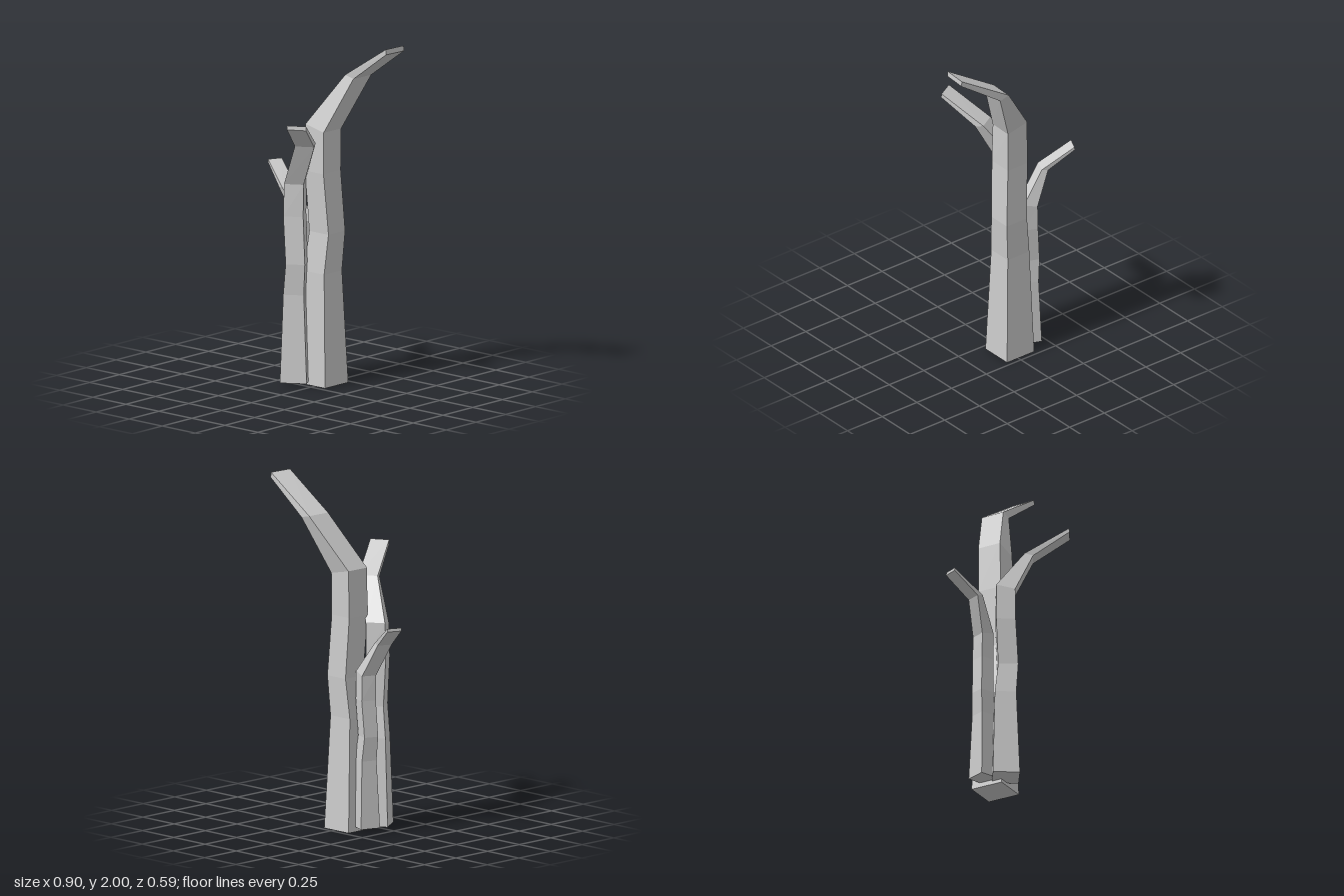
import * as THREE from 'three';

// Cross-sections from root to tip: left x, right x, back z, front z, left y, right y, back-edge x shift
const RINGS = [
  [-0.115, 0.08, -0.225, -0.03, 0, 0, 0],
  [-0.1, 0.055, -0.2, -0.05, 0.65, 0.65, 0],
  [-0.075, 0.07, -0.21, -0.07, 0.88, 0.88, 0],
  [-0.09, 0.05, -0.195, -0.05, 1.23, 1.23, 0],
  [-0.09, 0.047, -0.198, -0.055, 1.5, 1.47, 0.004],
  [0.12, 0.182, -0.298, -0.155, 1.8, 1.785, 0.006],
  [0.44, 0.443, -0.28, -0.14, 2, 1.97, 0.01],
];

// Four-sided bent stem lofted through the cross-sections, with both ends closed
function stemGeometry() {
  const rings = RINGS.map(([l, r, b, f, yl, yr, k]) => [
    [l, yl, f], [r, yr, f], [r + k, yr, b], [l + k, yl, b],
  ]);
  const pos = [];
  const quad = (a, b, c, d) => pos.push(...a, ...b, ...c, ...a, ...c, ...d);
  for (let i = 0; i < rings.length - 1; i++) {
    const lo = rings[i], hi = rings[i + 1];
    for (let j = 0; j < 4; j++) {
      const n = (j + 1) % 4;
      quad(lo[j], lo[n], hi[n], hi[j]);
    }
  }
  quad(...[...rings[0]].reverse());
  quad(...rings[rings.length - 1]);
  const geo = new THREE.BufferGeometry();
  geo.setAttribute('position', new THREE.Float32BufferAttribute(pos, 3));
  geo.computeVertexNormals();
  return geo;
}

export function createModel() {
  const group = new THREE.Group();
  group.name = 'bareTree';
  const geo = stemGeometry();
  const mat = new THREE.MeshStandardMaterial({ color: 0xcccccc, flatShading: true });

  // The same stem three times: name, scale, turn in degrees, position
  const stems = [
    ['tallStem', 1, 0, [0, 0, 0]],
    ['middleStem', 0.78, -57, [-0.194, 0.02, 0.065]],
    ['shortStem', 0.597, -200.8, [-0.139, 0.028, -0.2]],
  ];
  for (const [name, scale, turn, at] of stems) {
    const stem = new THREE.Mesh(geo, mat);
    stem.name = name;
    stem.scale.setScalar(scale);
    stem.rotation.y = THREE.MathUtils.degToRad(turn);
    stem.position.set(...at);
    group.add(stem);
  }
  return group;
}
